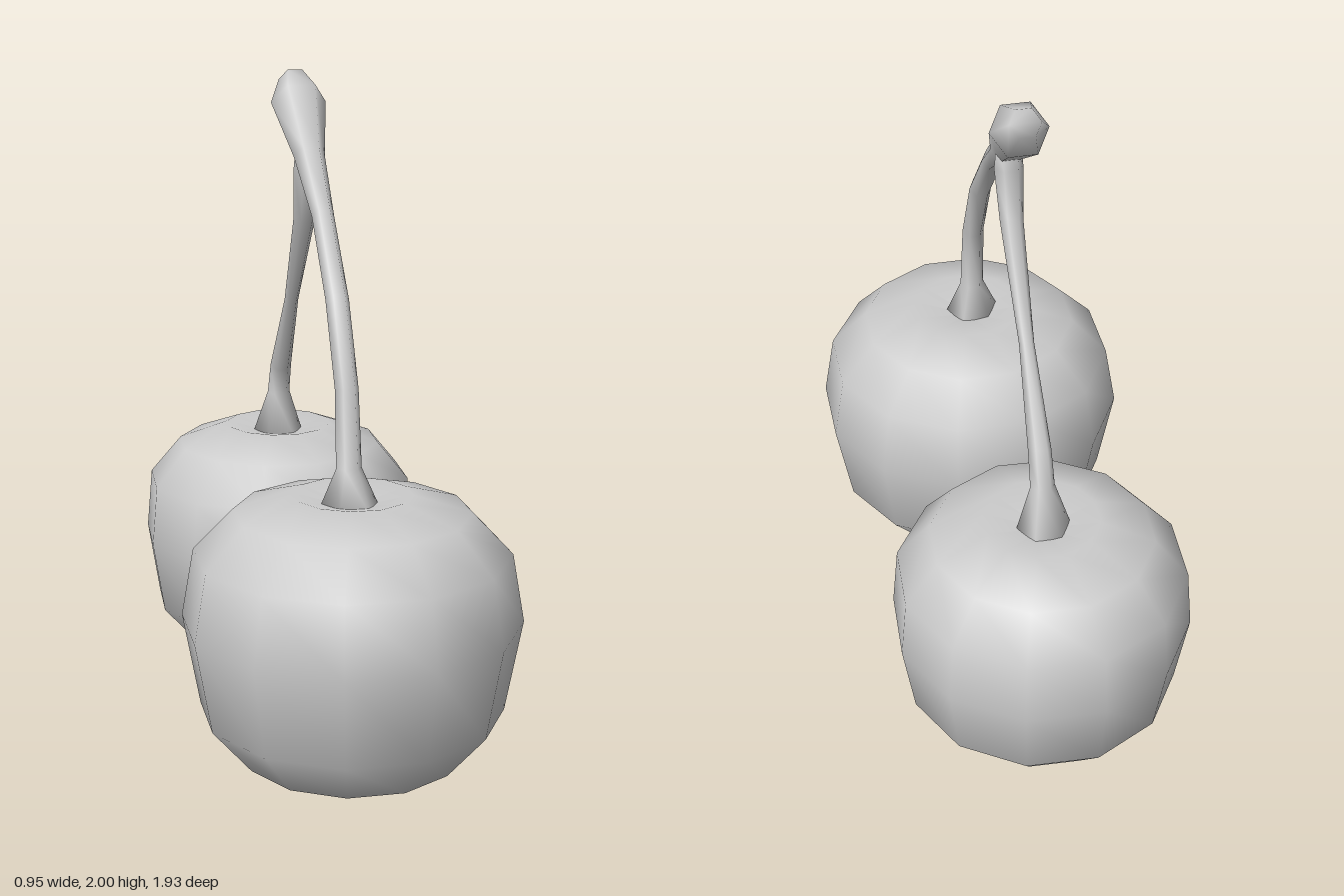
import * as THREE from 'three';

const material = new THREE.MeshStandardMaterial({ color: 0xcccccc, side: THREE.DoubleSide });

function addMesh(group, name, geometry) {
  const mesh = new THREE.Mesh(geometry, material);
  mesh.name = name;
  group.add(mesh);
  return mesh;
}

// Low-poly fruit turned from a profile of [radius, height], dimpled at the top
function fruit(profile, phiStart) {
  const points = profile.map(([r, y]) => new THREE.Vector2(r, y));
  return new THREE.LatheGeometry(points, 12, phiStart);
}

// Six-sided stalk lofted through rows of [z, y, radius]; both ends are capped
function stalk(rows, x, sides = 6) {
  const centres = rows.map(([z, y]) => new THREE.Vector3(x, y, z));
  const positions = [];
  const index = [];
  const side = new THREE.Vector3(1, 0, 0);
  rows.forEach(([, , r], i) => {
    const before = centres[Math.max(i - 1, 0)];
    const after = centres[Math.min(i + 1, rows.length - 1)];
    const tangent = after.clone().sub(before).normalize();
    if (i === 0) tangent.set(0, 1, 0);
    const across = new THREE.Vector3().crossVectors(tangent, side);
    for (let j = 0; j < sides; j++) {
      const a = (j / sides) * Math.PI * 2;
      const p = centres[i].clone()
        .addScaledVector(side, r * Math.cos(a))
        .addScaledVector(across, r * Math.sin(a));
      positions.push(p.x, p.y, p.z);
    }
  });
  for (let i = 0; i < rows.length - 1; i++) {
    for (let j = 0; j < sides; j++) {
      const a = i * sides + j;
      const b = i * sides + ((j + 1) % sides);
      index.push(a, a + sides, b, b, a + sides, b + sides);
    }
  }
  const last = (rows.length - 1) * sides;
  for (let j = 1; j < sides - 1; j++) {
    index.push(0, j, j + 1, last, last + j + 1, last + j);
  }
  // Orient the faces outward
  for (let k = 0; k < index.length; k += 3) {
    const [a, b, c] = [0, 1, 2].map((n) => new THREE.Vector3().fromArray(positions, index[k + n] * 3));
    const normal = b.clone().sub(a).cross(c.clone().sub(a));
    const middle = a.clone().add(b).add(c).divideScalar(3);
    const rowOf = (n) => Math.floor(index[k + n] / sides);
    const low = Math.min(rowOf(0), rowOf(1), rowOf(2));
    const high = Math.max(rowOf(0), rowOf(1), rowOf(2));
    let outward;
    if (low === high) {
      const inner = low === 0 ? 1 : low - 1;
      outward = middle.sub(centres[inner]);
    } else {
      outward = middle.sub(centres[low].clone().add(centres[high]).multiplyScalar(0.5));
    }
    if (normal.dot(outward) < 0) [index[k + 1], index[k + 2]] = [index[k + 2], index[k + 1]];
  }
  const geometry = new THREE.BufferGeometry();
  geometry.setAttribute('position', new THREE.Float32BufferAttribute(positions, 3));
  geometry.setIndex(index);
  geometry.computeVertexNormals();
  return geometry;
}

export function createModel() {
  const group = new THREE.Group();
  group.name = 'cherryPair';

  // Larger front cherry
  const front = addMesh(group, 'frontCherry', fruit([
    [0, 0.02], [0.14, 0.015], [0.32, 0.09], [0.44, 0.23], [0.49, 0.5],
    [0.455, 0.7], [0.34, 0.82], [0.17, 0.87], [0, 0.83],
  ], 0.25));
  front.position.set(0, 0, 0.485);

  // Smaller back cherry
  const back = addMesh(group, 'backCherry', fruit([
    [0, 0.005], [0.12, 0], [0.28, 0.07], [0.41, 0.22], [0.447, 0.45],
    [0.43, 0.64], [0.33, 0.76], [0.17, 0.82], [0, 0.78],
  ], 0.2));
  back.position.set(-0.01, 0, -0.53);

  // Main stem with its knob at the top
  addMesh(group, 'mainStem', stalk([
    [0.505, 0.83, 0.09], [0.5, 0.95, 0.037], [0.47, 1.17, 0.034],
    [0.35, 1.4, 0.034], [0.165, 1.61, 0.033], [-0.02, 1.76, 0.047],
    [-0.175, 1.905, 0.084], [-0.25, 1.967, 0.045],
  ], -0.015));

  // Side stem that joins the main one below the knob
  addMesh(group, 'sideStem', stalk([
    [-0.535, 0.78, 0.085], [-0.515, 0.93, 0.036], [-0.475, 1.03, 0.034],
    [-0.3, 1.28, 0.022], [-0.1, 1.57, 0.034], [-0.06, 1.72, 0.042],
    [-0.06, 1.8, 0.035],
  ], -0.012));

  return group;
}
